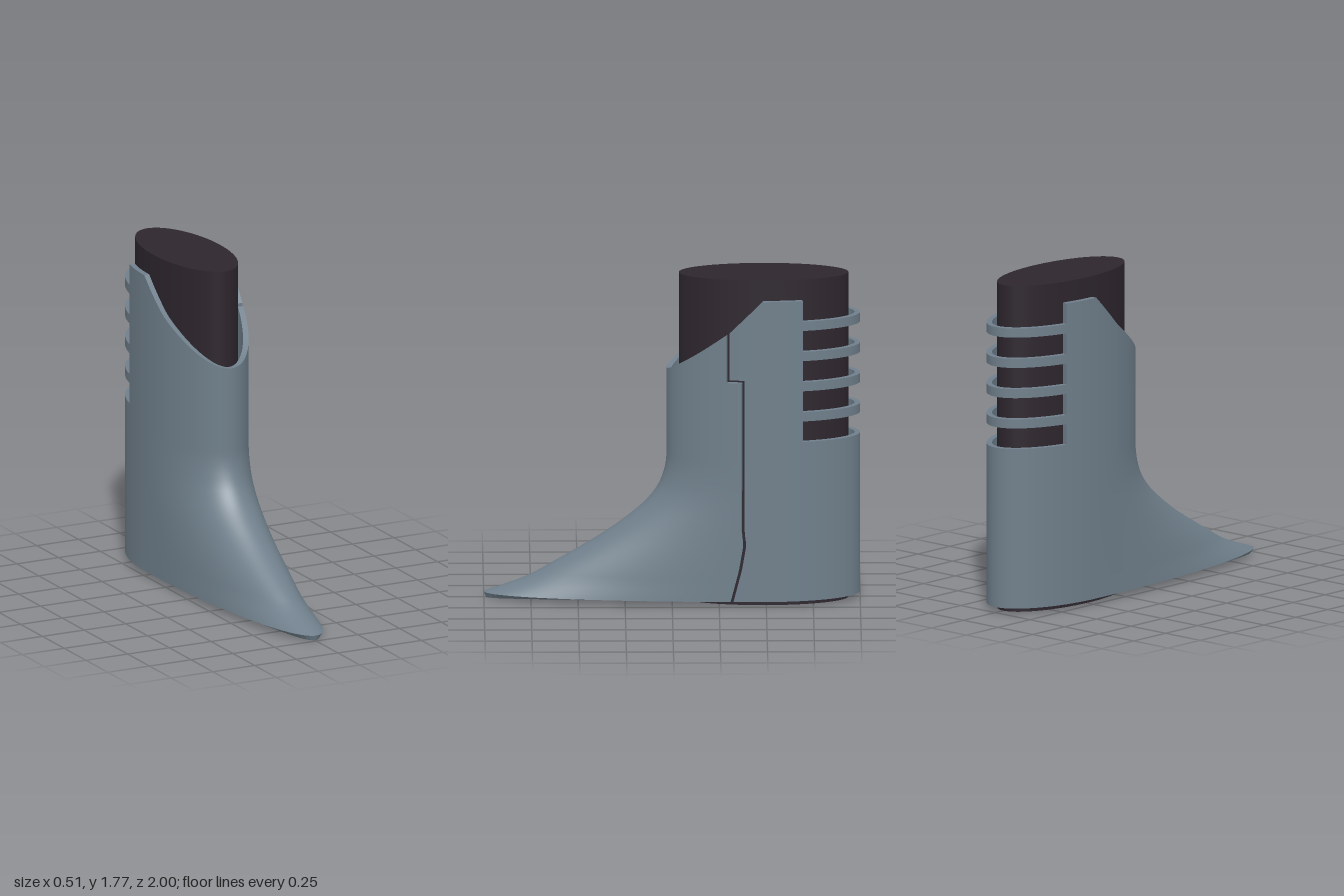
import * as THREE from 'three';

const ZC = -0.485, RX = 0.255, RZ = 0.515, WALL = 0.03;
const REAR = Math.acos((-0.695 - ZC) / RZ); // angle where the rear opening starts

// piecewise linear lookup in [[key, value], ...] with rising keys
function lookup(table, k) {
  if (k <= table[0][0]) return table[0][1];
  for (let i = 1; i < table.length; i++) {
    const [k0, v0] = table[i - 1], [k1, v1] = table[i];
    if (k <= k1) return v0 + (v1 - v0) * (k - k0) / (k1 - k0);
  }
  return table[table.length - 1][1];
}

// instep curve: height -> front z
const instep = new THREE.SplineCurve([
  [0.03, 1.0], [0.105, 0.79], [0.175, 0.66], [0.34, 0.38], [0.48, 0.19],
  [0.58, 0.095], [0.67, 0.05], [0.77, 0.03], [0.9, 0.03],
].map(([y, z]) => new THREE.Vector2(y, z))).getPoints(120).map(p => [p.x, Math.max(p.y, 0.03)]);
// slanted collar: z -> height
const collar = [[ZC, 1.67], [-0.3, 1.49], [0.03, 1.255]];
// seam on the left side: height -> z
const seam = [[0.03, -0.318], [0.2, -0.362], [0.34, -0.386], [0.4, -0.377], [1.25, -0.377]];

const frontRadius = y => lookup(instep, y) - ZC;

// outer surface; angle 0 is the front, positive angles go to +x
function surface(a, y) {
  const c = Math.cos(a);
  return new THREE.Vector3(RX * Math.sin(a), y, ZC + c * (c > 0 ? frontRadius(y) : RZ));
}
function normalAt(a, y) {
  const du = surface(a + 0.003, y).sub(surface(a - 0.003, y));
  const dv = surface(a, y + 0.012).sub(surface(a, Math.max(0.03, y - 0.012)));
  return du.cross(dv).normalize();
}
const angleAtZ = (z, y) => Math.acos((z - ZC) / frontRadius(y));
const topAt = a => lookup(collar, ZC + RZ * Math.cos(a));

// angles through a list of breakpoints, with a step count for each span
function spread(breaks, counts) {
  const out = [breaks[0]];
  counts.forEach((n, s) => {
    for (let i = 1; i <= n; i++) out.push(breaks[s] + (breaks[s + 1] - breaks[s]) * i / n);
  });
  return out;
}

// thick curved panel from rows of [angle, height]
function panel(name, rows, material) {
  const pos = [], nor = [];
  const grid = rows.map(row => row.map(([a, y]) => {
    const p = surface(a, y), n = normalAt(a, y);
    return { p, n, q: p.clone().addScaledVector(n, -WALL), m: n.clone().negate() };
  }));
  const quad = (pts, normals) => [0, 1, 2, 0, 2, 3].forEach(i => {
    pos.push(...pts[i].toArray());
    nor.push(...normals[i].toArray());
  });
  const wall = (a, b, flip) => { // edge strip between outer and inner skins
    const pts = flip ? [a.p, a.q, b.q, b.p] : [a.p, b.p, b.q, a.q];
    const n = pts[2].clone().sub(pts[0]).cross(pts[3].clone().sub(pts[1])).normalize();
    quad(pts, [n, n, n, n]);
  };
  const H = grid.length - 1, W = grid[0].length - 1;
  for (let j = 0; j < H; j++) {
    for (let i = 0; i < W; i++) {
      const c = [grid[j][i], grid[j][i + 1], grid[j + 1][i + 1], grid[j + 1][i]];
      quad(c.map(v => v.p), c.map(v => v.n));
      c.reverse();
      quad(c.map(v => v.q), c.map(v => v.m));
    }
    wall(grid[j][0], grid[j + 1][0], false);
    wall(grid[j][W], grid[j + 1][W], true);
  }
  for (let i = 0; i < W; i++) {
    wall(grid[0][i], grid[0][i + 1], true);
    wall(grid[H][i], grid[H][i + 1], false);
  }
  const g = new THREE.BufferGeometry();
  g.setAttribute('position', new THREE.Float32BufferAttribute(pos, 3));
  g.setAttribute('normal', new THREE.Float32BufferAttribute(nor, 3));
  const mesh = new THREE.Mesh(g, material);
  mesh.name = name;
  return mesh;
}

// rows of a side panel whose seam edge steps forward at height stepY
function steppedRows(stepY, shift, anglesFor) {
  const rows = [];
  const heights = spread([0.03, 0.8, stepY], [26, 2]);
  for (const y of heights) {
    rows.push(anglesFor(angleAtZ(lookup(seam, y) + shift, y)).map(a => [a, y]));
  }
  const upper = anglesFor(angleAtZ(-0.297 + shift, stepY));
  for (const t of [0, 0.5, 1]) rows.push(upper.map(a => [a, stepY + (topAt(a) - stepY) * t]));
  return rows;
}

export function createModel() {
  const group = new THREE.Group();
  const shellMat = new THREE.MeshStandardMaterial({ color: 0x6f7f8b, side: THREE.DoubleSide });
  const coreMat = new THREE.MeshStandardMaterial({ color: 0x2d262d });

  // oval inner core
  const core = new THREE.Mesh(new THREE.CylinderGeometry(1, 1, 1.775, 64), coreMat);
  core.scale.set(0.2, 1, 0.45);
  core.position.set(0, 1.775 / 2, ZC - 0.002);
  core.name = 'innerCore';
  group.add(core);

  // front shell with the toe, and the left rear shell behind the seam
  group.add(panel('frontShell', steppedRows(1.223, 0.008,
    s => spread([-REAR, -Math.PI / 2, 0, s], [5, 24, 20])), shellMat));
  group.add(panel('leftRearShell', steppedRows(1.239, -0.008,
    s => spread([s, Math.PI / 2, REAR], [4, 5])), shellMat));

  // heel below the rear opening
  const back = spread([REAR, 2 * Math.PI - REAR], [36]);
  const ring = ys => ys.map(y => back.map(a => [a, y]));
  group.add(panel('heelShell', ring([0.03, 0.45, 0.9]), shellMat));

  // bands across the rear opening
  for (let i = 0; i < 4; i++) {
    const y = 1.012 + i * 0.165;
    group.add(panel('rearBand' + (i + 1), ring([y, y + 0.05]), shellMat));
  }
  return group;
}
